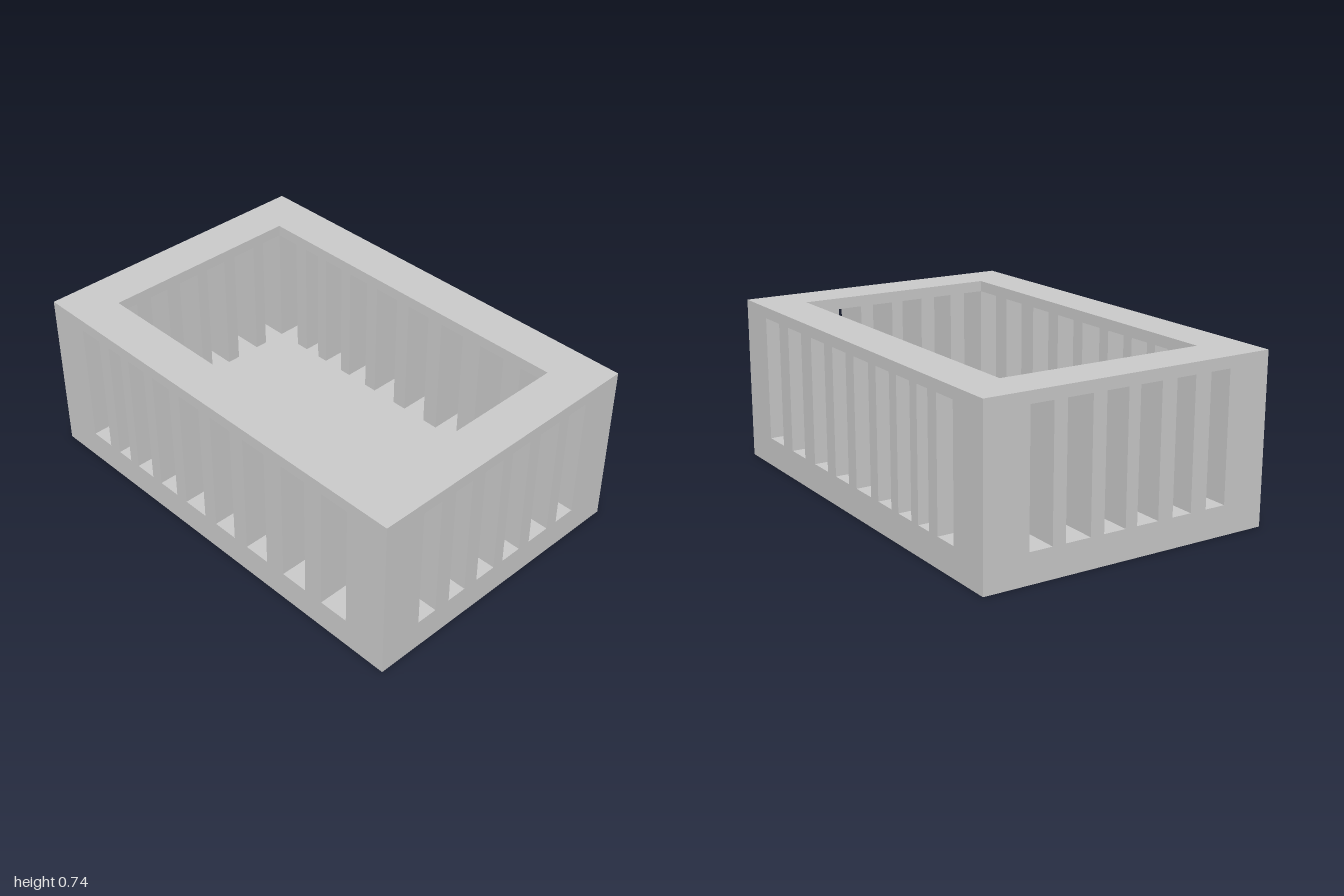
import * as THREE from 'three';

const material = new THREE.MeshStandardMaterial({ color: 0xcccccc });

// Outer half sizes, cavity limits and heights
const X = 0.665, Z = 1;
const inner = { x0: -0.47, x1: 0.465, z0: -0.8, z1: 0.8 };
const FLOOR = 0.13, SLOT_TOP = 0.69, TOP = 0.74;

// Bars left standing between the slots: [from, to]
const endBars = [[-0.374, -0.298], [-0.206, -0.135], [-0.032, 0.023], [0.125, 0.187], [0.302, 0.361]];
const sideBars = [
  [-0.684, -0.62], [-0.54, -0.487], [-0.385, -0.329], [-0.222, -0.16],
  [-0.037, 0.032], [0.15, 0.225], [0.348, 0.444], [0.572, 0.663],
];

function block(name, x0, x1, y0, y1, z0, z1) {
  const mesh = new THREE.Mesh(new THREE.BoxGeometry(x1 - x0, y1 - y0, z1 - z0), material);
  mesh.position.set((x0 + x1) / 2, (y0 + y1) / 2, (z0 + z1) / 2);
  mesh.name = name;
  return mesh;
}

function rectangle(target, x0, x1, z0, z1) {
  target.moveTo(x0, z0).lineTo(x1, z0).lineTo(x1, z1).lineTo(x0, z1).closePath();
  return target;
}

export function createModel() {
  const model = new THREE.Group();
  model.name = 'slottedBox';

  // Solid base, its top is the cavity floor
  model.add(block('base', -X, X, 0, FLOOR, -Z, Z));

  // Rim with the open top
  const ring = rectangle(new THREE.Shape(), -X, X, -Z, Z);
  ring.holes.push(rectangle(new THREE.Path(), inner.x0, inner.x1, inner.z0, inner.z1));
  const rimGeometry = new THREE.ExtrudeGeometry(ring, { depth: TOP - SLOT_TOP, bevelEnabled: false });
  rimGeometry.rotateX(-Math.PI / 2).translate(0, SLOT_TOP, 0);
  const rim = new THREE.Mesh(rimGeometry, material);
  rim.name = 'rim';
  model.add(rim);

  // Wall thickness ranges on each side
  const xWalls = [[-X, inner.x0], [inner.x1, X]];
  const zWalls = [[-Z, inner.z0], [inner.z1, Z]];

  // Corner posts
  for (const [x0, x1] of xWalls)
    for (const [z0, z1] of zWalls)
      model.add(block('cornerPost', x0, x1, FLOOR, SLOT_TOP, z0, z1));

  // Bars of the front and back walls
  for (const [z0, z1] of zWalls)
    for (const [x0, x1] of endBars)
      model.add(block('endBar', x0, x1, FLOOR, SLOT_TOP, z0, z1));

  // Bars of the left and right walls
  for (const [x0, x1] of xWalls)
    for (const [z0, z1] of sideBars)
      model.add(block('sideBar', x0, x1, FLOOR, SLOT_TOP, z0, z1));

  return model;
}
